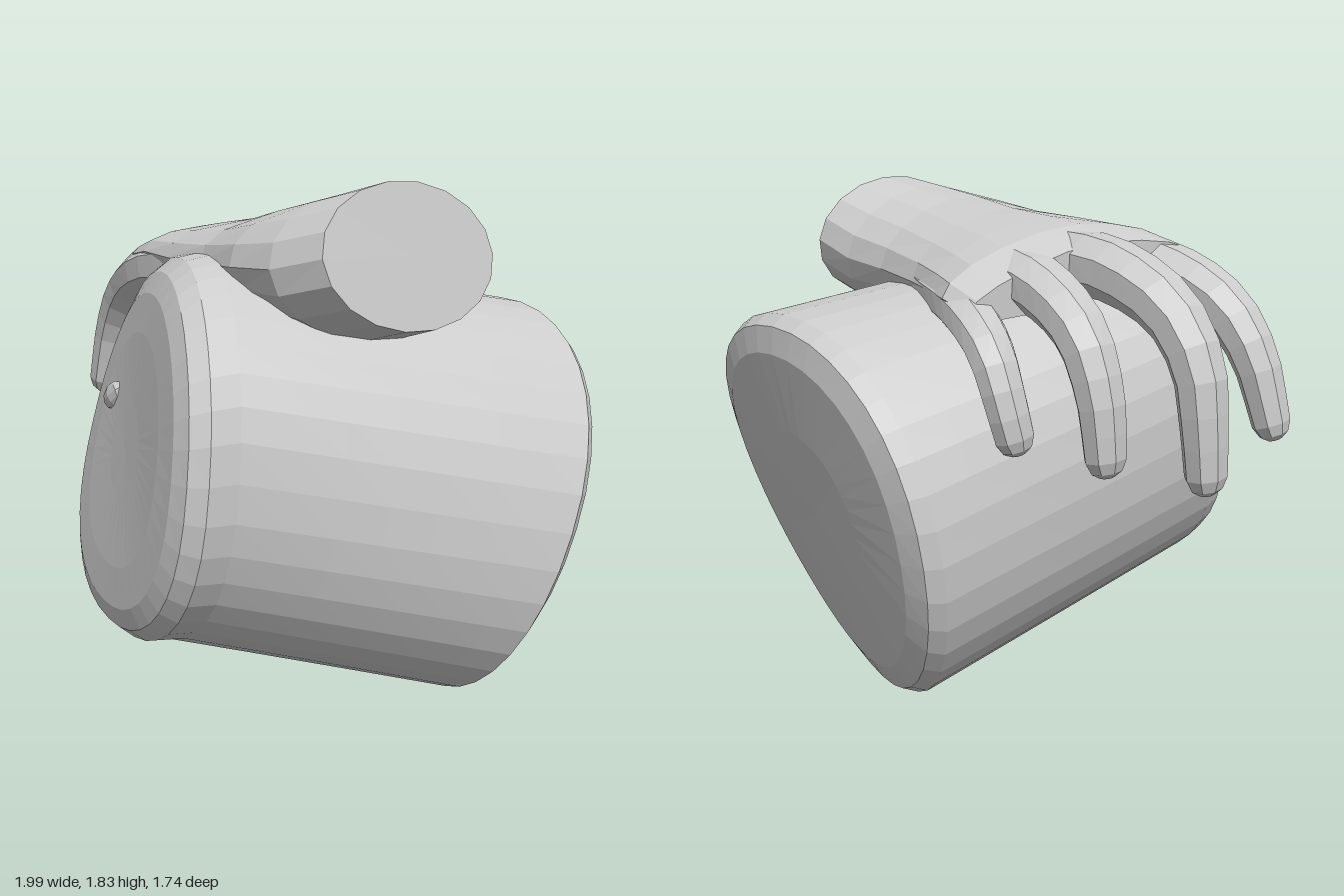
import * as THREE from 'three';

const material = new THREE.MeshStandardMaterial({ color: 0xcccccc, flatShading: true });
const V = (x, y, z) => new THREE.Vector3(x, y, z);

// Skin a list of equal-length rings, closing both ends with fans
function loft(name, rings) {
  const n = rings[0].length;
  const pts = rings.flat();
  const ends = [rings[0], rings[rings.length - 1]];
  const centres = ends.map((r) => r.reduce((s, p) => s.add(p), V(0, 0, 0)).divideScalar(n));
  const first = pts.length;
  pts.push(...centres);
  const idx = [];
  for (let j = 0; j < n; j++) {
    const k = (j + 1) % n;
    for (let i = 0; i < rings.length - 1; i++) {
      const a = i * n + j, b = i * n + k;
      idx.push(a, b, a + n, b, b + n, a + n);
    }
    const last = (rings.length - 1) * n;
    idx.push(first, k, j, first + 1, last + j, last + k);
  }
  // Signed volume decides which way the faces wind
  let volume = 0;
  for (let i = 0; i < idx.length; i += 3) {
    volume += pts[idx[i]].dot(V(0, 0, 0).crossVectors(pts[idx[i + 1]], pts[idx[i + 2]]));
  }
  if (volume < 0) idx.reverse();
  const indexed = new THREE.BufferGeometry().setFromPoints(pts);
  indexed.setIndex(idx);
  const geo = indexed.toNonIndexed();
  geo.computeVertexNormals();
  const mesh = new THREE.Mesh(geo, material);
  mesh.name = name;
  return mesh;
}

// Slanted, slightly twisted and squarish ring of the drum
function drumRing([cx, cy, cz, r, sx, sy, twist, power]) {
  return Array.from({ length: 40 }, (_, i) => {
    const t = (i / 40) * Math.PI * 2;
    const soft = (v) => Math.sign(v) * Math.pow(Math.abs(v), power);
    const dx = r * soft(Math.cos(t)), dy = r * soft(Math.sin(t));
    return V(cx + dx, cy + dy, cz + sx * dx + sy * dy + twist * dx * dy);
  });
}

function makeDrum() {
  // Ring: cx, cy, cz, radius, slope in x, slope in y, twist, corner power
  const front = (cz, r) => [-0.04, 0.965, cz, r, 0.29, -0.21, 0.18, 0.9];
  const back = (cz, r) => [0.29, 0.71, cz, r, 0.3, -0.29, -0.18, 0.95];
  const a = front(0.5, 0.642), b = back(-0.57, 0.705);
  const wall = Array.from({ length: 8 }, (_, i) => a.map((v, k) => v + (b[k] - v) * (i / 7)));
  return loft('drum', [
    front(0.7, 0.15), front(0.7, 0.38), front(0.69, 0.51), front(0.66, 0.58), front(0.6, 0.625),
    ...wall,
    back(-0.63, 0.67), back(-0.665, 0.58), back(-0.68, 0.3),
  ].map(drumRing));
}

// Back of the hand, from the cut wrist to the knuckles
function makePalm() {
  const sections = [
    // x, cy, cz, half height, half width, slant with y, slant with z
    [0.665, 1.605, 0.07, 0.23, 0.335, -0.2, -0.09],
    [0.5, 1.565, 0.1, 0.235, 0.375, -0.15, -0.08],
    [0.3, 1.56, 0.09, 0.205, 0.395, -0.1, -0.06],
    [0.05, 1.555, 0.02, 0.175, 0.4, 0, -0.1],
    [-0.15, 1.56, -0.03, 0.15, 0.425, 0, -0.2],
    [-0.3, 1.57, -0.07, 0.12, 0.44, 0, -0.3],
    [-0.42, 1.55, -0.08, 0.085, 0.425, 0, -0.33],
  ];
  return loft('palm', sections.map(([x, cy, cz, hy, hz, sy, sz], s) =>
    Array.from({ length: 18 }, (_, i) => {
      const t = (i / 18) * Math.PI * 2;
      const dy = hy * Math.sin(t), dz = hz * Math.cos(t);
      // The little-finger side drops towards the knuckles
      const droop = (s / 6) * (dz < 0 ? 0.11 : 0.03) * (dz / hz);
      return V(x + sy * dy + sz * dz, cy + dy + droop, cz + dz);
    })));
}

// Tapered finger following a bent path, wider than thick, with a rounded tip
function makeFinger(name, points, r0, r1) {
  const curve = new THREE.CatmullRomCurve3(points.map((p) => V(...p)));
  const steps = 11, rings = [];
  const ring = (c, tangent, r) => {
    const side = V(0, 0, 1).addScaledVector(tangent, -tangent.z).normalize();
    const up = V(0, 0, 0).crossVectors(side, tangent);
    return Array.from({ length: 8 }, (_, i) => {
      const t = ((i + 0.5) / 8) * Math.PI * 2;
      return c.clone().addScaledVector(side, 1.2 * r * Math.cos(t)).addScaledVector(up, r * Math.sin(t));
    });
  };
  for (let i = 0; i <= steps; i++) {
    const t = i / steps;
    rings.push(ring(curve.getPointAt(t), curve.getTangentAt(t), r0 + (r1 - r0) * t));
  }
  const end = curve.getPointAt(1), dir = curve.getTangentAt(1);
  rings.push(ring(end.clone().addScaledVector(dir, r1 * 0.6), dir, r1 * 0.75));
  rings.push(ring(end.clone().addScaledVector(dir, r1 * 0.9), dir, r1 * 0.35));
  return loft(name, rings);
}

export function createModel() {
  const model = new THREE.Group();
  model.name = 'handOnDrum';
  model.add(makeDrum());

  const hand = new THREE.Group();
  hand.name = 'hand';
  hand.add(
    makePalm(),
    makeFinger('indexFinger', [[-0.2, 1.55, 0.23], [-0.5, 1.53, 0.26], [-0.75, 1.43, 0.24],
      [-0.87, 1.28, 0.24], [-0.94, 1.05, 0.26]], 0.12, 0.062),
    makeFinger('middleFinger', [[-0.2, 1.57, 0], [-0.5, 1.55, -0.04], [-0.74, 1.44, -0.07],
      [-0.85, 1.28, -0.08], [-0.88, 1.1, -0.08], [-0.89, 0.93, -0.07]], 0.12, 0.066),
    makeFinger('ringFinger', [[-0.1, 1.55, -0.18], [-0.38, 1.5, -0.26], [-0.57, 1.38, -0.31],
      [-0.65, 1.2, -0.32], [-0.67, 1.0, -0.31]], 0.11, 0.065),
    makeFinger('littleFinger', [[0.08, 1.48, -0.27], [-0.2, 1.43, -0.43], [-0.37, 1.33, -0.51],
      [-0.44, 1.18, -0.52], [-0.46, 1.07, -0.5]], 0.09, 0.06),
  );

  // Thumb tip barely breaking through the drum's front face
  const thumb = new THREE.Mesh(new THREE.SphereGeometry(1, 8, 6), material);
  thumb.name = 'thumbTip';
  thumb.scale.set(0.07, 0.045, 0.03);
  thumb.position.set(-0.29, 1.1, 0.59);
  thumb.rotation.z = 0.6;
  hand.add(thumb);

  model.add(hand);
  return model;
}
